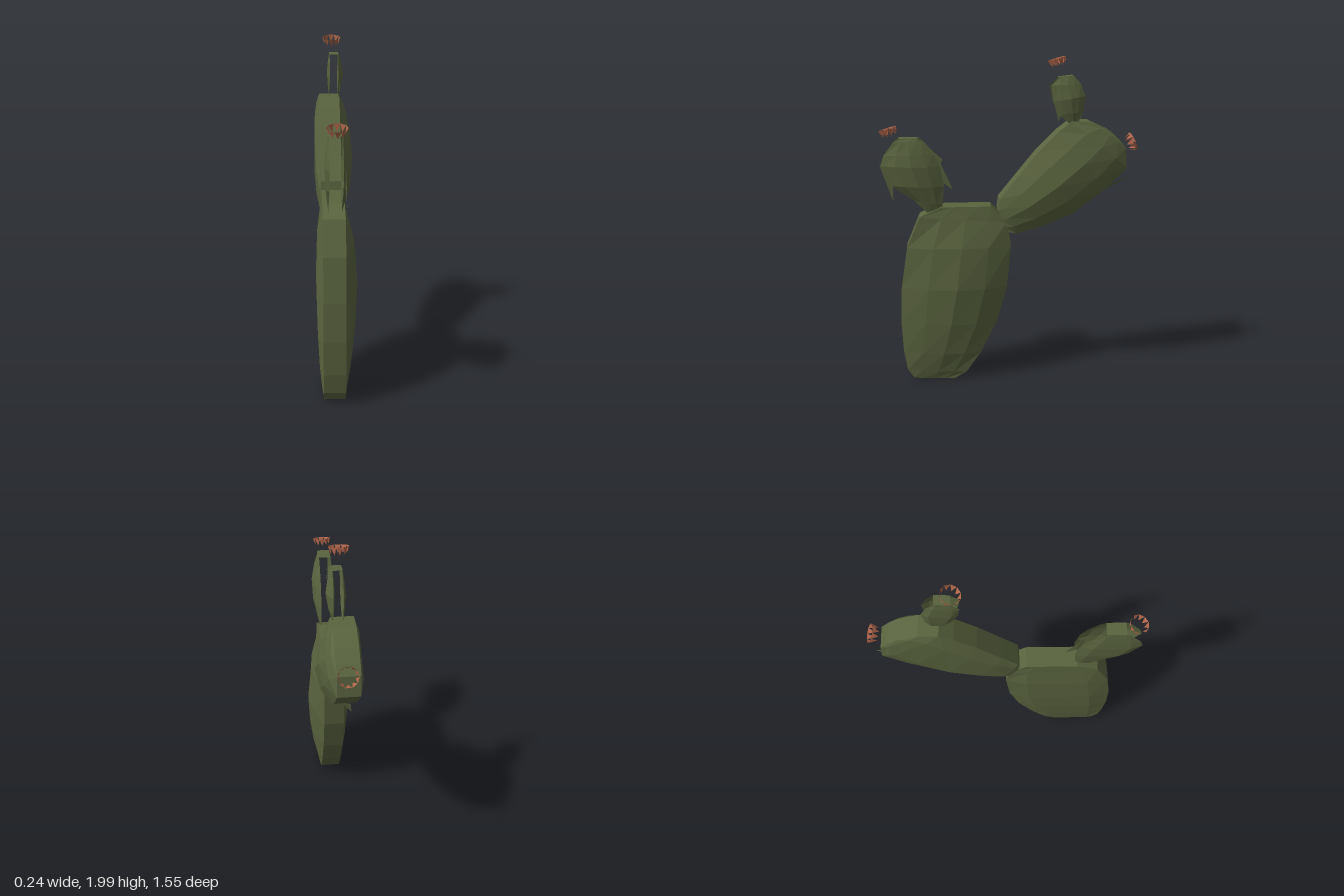
import * as THREE from 'three';

const green = new THREE.MeshStandardMaterial({ name: 'cactusGreen', color: 0x5a643f, flatShading: true, side: THREE.DoubleSide });
const rust = new THREE.MeshStandardMaterial({ name: 'flowerRust', color: 0xb0654a, flatShading: true, side: THREE.DoubleSide });

function meshFrom(name, positions, index, material) {
  const g = new THREE.BufferGeometry();
  g.setAttribute('position', new THREE.Float32BufferAttribute(positions, 3));
  g.setIndex(index);
  const flat = g.toNonIndexed();
  flat.computeVertexNormals();
  const m = new THREE.Mesh(flat, material);
  m.name = name;
  return m;
}

// Cross-section of a pad: [x of the rim, extra x at full bulge, share of the width]
const SECTION = [
  [-0.065, 0, 0], [0.06, 0, 0],
  [0.06, 0.055, 0.25], [0.06, 0.08, 0.52], [0.06, 0.055, 0.78],
  [0.06, 0, 1], [-0.065, 0, 1],
  [-0.065, -0.035, 0.8], [-0.065, -0.035, 0.2],
];

// Each row: z and y of the front rim, z and y of the back rim, bulge
function pad(name, rows, { cx = -0.02, k = 1, openRim = false } = {}) {
  const pos = [], idx = [], n = SECTION.length;
  for (const [z0, y0, z1, y1, b] of rows) {
    for (const [rim, bulge, s] of SECTION) {
      pos.push(cx + k * (rim + bulge * b), y0 + (y1 - y0) * s, z0 + (z1 - z0) * s);
    }
  }
  for (let r = 0; r < rows.length - 1; r++) {
    for (let i = 0; i < n; i++) {
      if (openRim && (i === 0 || i === 5)) continue;
      const j = (i + 1) % n, a = r * n, c = a + n;
      idx.push(a + i, a + j, c + j, a + i, c + j, c + i);
    }
  }
  // End caps
  const top = (rows.length - 1) * n;
  for (let i = 1; i < n - 1; i++) {
    idx.push(0, i + 1, i);
    idx.push(top, top + i, top + i + 1);
  }
  return meshFrom(name, pos, idx, green);
}

// Thin pointed flap: two base corners and a tip, [x, y, z]
const spike = (name, a, b, tip) => meshFrom(name, [...a, ...b, ...tip], [0, 1, 2], green);

// Crown of pointed petals around a tilted axis
function flower(name, y, z, tilt) {
  const pos = [], idx = [], count = 10, R = 0.056;
  const put = (t, r, h) => pos.push(r * Math.sin(t), h, r * Math.cos(t));
  for (let i = 0; i < count; i++) {
    const t = (i / count) * Math.PI * 2, d = Math.PI / count;
    put(t - d, R, 0);
    put(t, R * 0.75, -0.042);
    put(t + d, R, 0);
    idx.push(i * 3, i * 3 + 1, i * 3 + 2);
  }
  const m = meshFrom(name, pos, idx, rust);
  m.position.set(-0.012, y, z);
  m.rotation.x = tilt;
  return m;
}

export function createModel() {
  const group = new THREE.Group();
  group.name = 'cactus';

  group.add(pad('mainPad', [
    [0.61, 0.02, 0.36, 0.005, 0],
    [0.65, 0.08, 0.28, 0.05, 0.2],
    [0.67, 0.2, 0.19, 0.18, 0.55],
    [0.68, 0.4, 0.09, 0.38, 0.85],
    [0.67, 0.62, 0.025, 0.61, 1],
    [0.63, 0.87, 0.0, 0.87, 0.75],
    [0.55, 1.06, 0.025, 1.02, 0.2],
    [0.42, 1.118, 0.12, 1.118, 0],
  ]));

  group.add(pad('backArmPad', [
    [0.08, 1.09, 0.03, 0.96, 0],
    [0.07, 1.16, -0.03, 0.945, 0.3],
    [-0.02, 1.27, -0.18, 0.985, 0.75],
    [-0.16, 1.44, -0.37, 1.06, 1],
    [-0.28, 1.56, -0.57, 1.21, 0.9],
    [-0.36, 1.62, -0.7, 1.34, 0.6],
    [-0.47, 1.62, -0.69, 1.46, 0.25],
    [-0.59, 1.565, -0.65, 1.51, 0],
  ]));

  group.add(pad('frontSmallPad', [
    [0.5, 1.08, 0.42, 1.07, 0],
    [0.58, 1.16, 0.41, 1.13, 0.4],
    [0.71, 1.25, 0.4, 1.24, 0.9],
    [0.77, 1.37, 0.42, 1.36, 1],
    [0.75, 1.43, 0.46, 1.44, 0.7],
    [0.69, 1.51, 0.52, 1.51, 0.2],
    [0.66, 1.53, 0.55, 1.53, 0],
  ], { cx: -0.015, k: 0.58, openRim: true }));

  group.add(pad('topSmallPad', [
    [-0.355, 1.6, -0.4, 1.61, 0],
    [-0.29, 1.66, -0.43, 1.68, 0.6],
    [-0.25, 1.74, -0.44, 1.77, 1],
    [-0.235, 1.83, -0.41, 1.84, 0.6],
    [-0.28, 1.88, -0.365, 1.89, 0.1],
  ], { cx: 0.005, k: 0.42, openRim: true }).translateX(0));

  // Loose pointed flaps along the pad edges
  group.add(spike('armSpike', [-0.07, 1.09, -0.42], [0.0, 1.22, -0.58], [-0.03, 1.28, -0.745]));
  group.add(spike('armBaseSpike', [-0.08, 0.96, 0.02], [0.03, 0.975, -0.13], [-0.02, 0.935, -0.06]));
  group.add(spike('frontPadFrontSpike', [0.03, 1.38, 0.775], [0.03, 1.28, 0.7], [0.04, 1.16, 0.7]));
  group.add(spike('frontPadBackSpike', [-0.03, 1.4, 0.43], [-0.03, 1.25, 0.4], [-0.03, 1.21, 0.345]));
  group.add(spike('frontPadTopSpike', [-0.02, 1.49, 0.51], [-0.02, 1.36, 0.42], [-0.02, 1.4, 0.405]));
  group.add(spike('topPadFrontSpike', [0.04, 1.74, -0.25], [0.04, 1.68, -0.3], [0.04, 1.62, -0.28]));

  group.add(flower('topFlower', 1.983, -0.272, 0.28));
  group.add(flower('frontFlower', 1.585, 0.722, 0.28));
  group.add(flower('backFlower', 1.495, -0.748, -1.13));
  return group;
}
